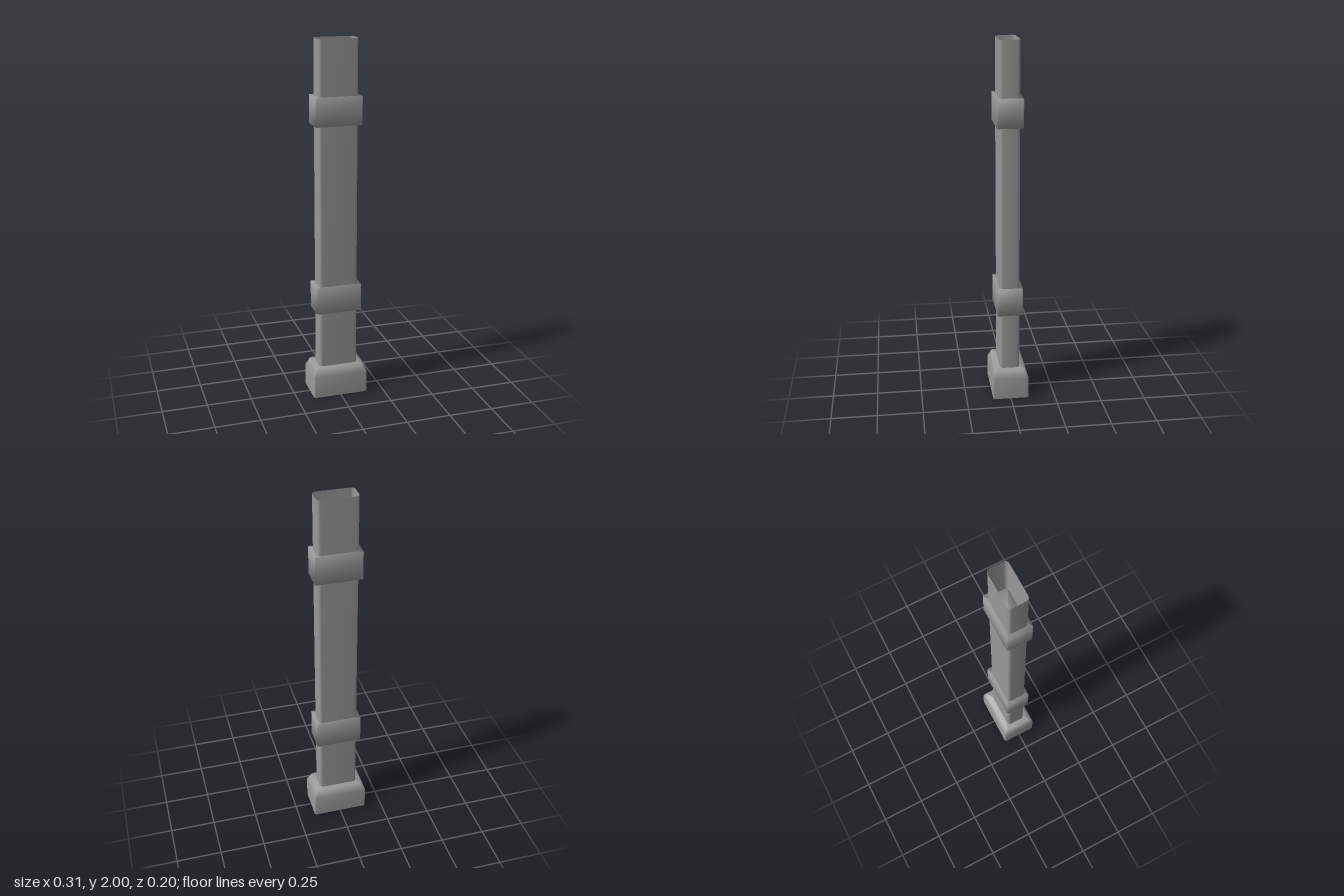
import * as THREE from 'three';

const material = new THREE.MeshStandardMaterial({ color: 0x999999, side: THREE.DoubleSide });

// Rounded rectangle outline, running from +x towards +z
function outline(hx, hz, r, steps) {
  const points = [];
  [[1, 1], [-1, 1], [-1, -1], [1, -1]].forEach(([sx, sz], corner) => {
    for (let i = 0; i <= steps; i++) {
      const a = (corner + i / steps) * Math.PI / 2;
      points.push([sx * (hx - r) + r * Math.cos(a), sz * (hz - r) + r * Math.sin(a)]);
    }
  });
  return points;
}

// Skins sections [y, halfWidth, halfDepth, cornerRadius] from bottom to top.
// Caps share the rim vertices, so the shading flows softly over the edges.
function loft(name, sections, { steps = 1, capBottom = false, capTop = false } = {}) {
  const positions = [], index = [];
  const n = 4 * (steps + 1);
  for (const [y, hx, hz, r] of sections) {
    for (const [x, z] of outline(hx, hz, r, steps)) positions.push(x, y, z);
  }
  for (let s = 0; s < sections.length - 1; s++) {
    for (let i = 0; i < n; i++) {
      const a = s * n + i, b = s * n + (i + 1) % n;
      index.push(a, a + n, b, b, a + n, b + n);
    }
  }
  const addCap = (ring, up) => {
    const centre = positions.length / 3;
    positions.push(0, sections[ring][0], 0);
    for (let i = 0; i < n; i++) {
      const a = ring * n + i, b = ring * n + (i + 1) % n;
      index.push(centre, ...(up ? [b, a] : [a, b]));
    }
  };
  if (capBottom) addCap(0, false);
  if (capTop) addCap(sections.length - 1, true);

  const geometry = new THREE.BufferGeometry();
  geometry.setAttribute('position', new THREE.Float32BufferAttribute(positions, 3));
  geometry.setIndex(index);
  geometry.computeVertexNormals();
  const mesh = new THREE.Mesh(geometry, material);
  mesh.name = name;
  return mesh;
}

// Solid collar around the pipe
function collar(name, y0, y1) {
  return loft(name, [[y0, 0.128, 0.071, 0.006], [y1, 0.128, 0.071, 0.006]],
    { capBottom: true, capTop: true });
}

export function createModel() {
  const group = new THREE.Group();
  group.name = 'downpipe';

  // Thin pipe, open at both ends
  group.add(loft('pipe', [[0, 0.11, 0.055, 0.018], [2, 0.11, 0.055, 0.018]], { steps: 2 }));

  // Two clamping collars
  group.add(collar('lowerCollar', 0.497, 0.65));
  group.add(collar('upperCollar', 1.548, 1.702));

  // Hollow foot with a sloped shoulder, open underneath
  group.add(loft('foot', [
    [0, 0.156, 0.1, 0.008],
    [0.125, 0.156, 0.1, 0.008],
    [0.17, 0.136, 0.08, 0.008],
  ], { capTop: true }));

  return group;
}
